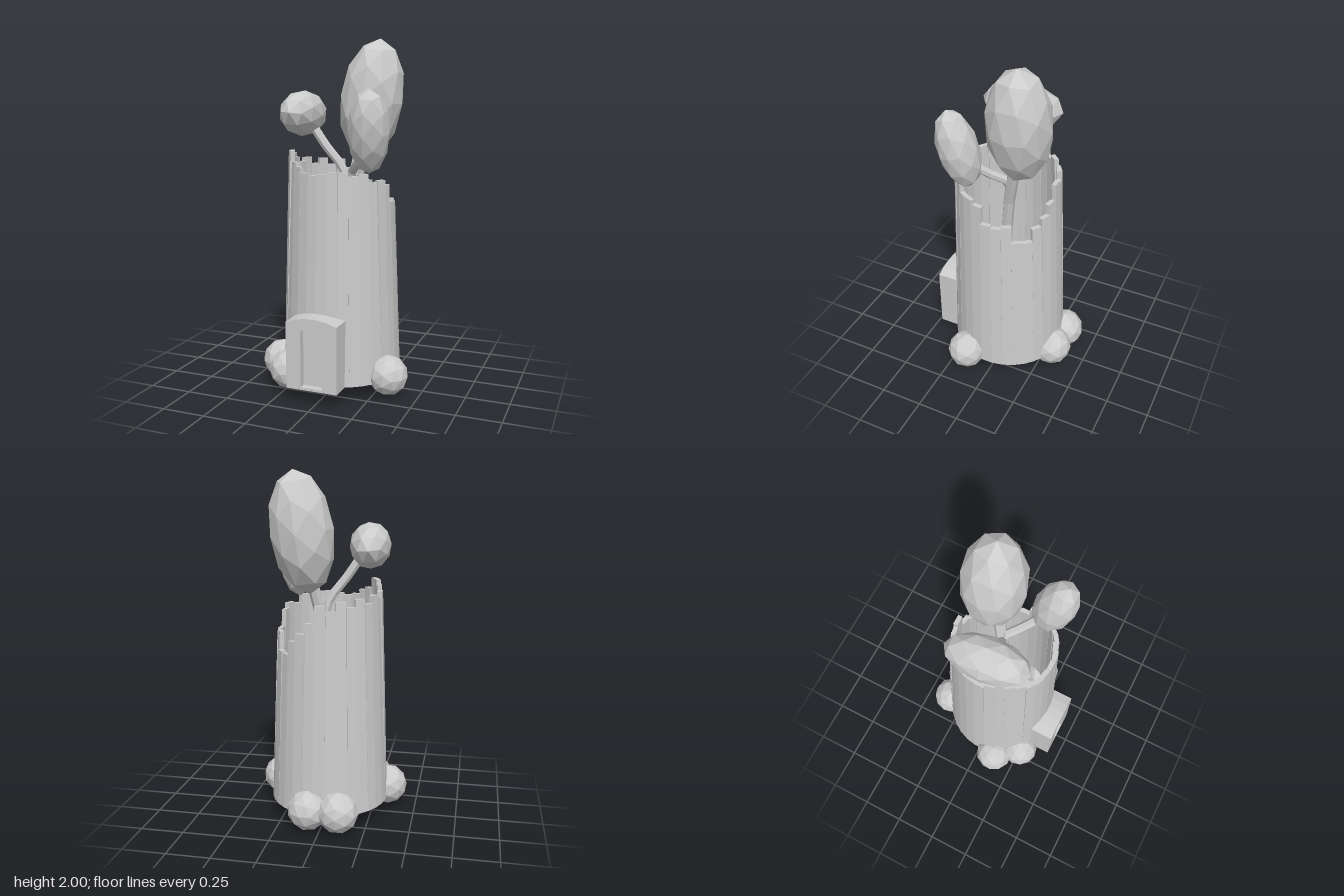
import * as THREE from 'three';
import { mergeGeometries } from 'three/addons/utils/BufferGeometryUtils.js';

const material = new THREE.MeshStandardMaterial({ color: 0xcccccc, flatShading: true });
const BASE = 0.09;

function add(parent, name, geometry) {
  const mesh = new THREE.Mesh(geometry, material);
  mesh.name = name;
  parent.add(mesh);
  return mesh;
}

// Broken rim height of each wall plank, going round from the front towards +x
const RIM = [
  1.27, 1.28, 1.28, 1.26, 1.27, 1.22, 1.23, 1.20, 1.10, 1.09, 1.10, 1.00, 0.99, 1.07, 1.12, 1.18,
  1.28, 1.25, 1.30, 1.27, 1.31, 1.28, 1.32, 1.30, 1.33, 1.36, 1.38, 1.38, 1.32, 1.30, 1.27, 1.26,
];

// One plank: a box bent onto the tapering tower wall
function plank(height, index) {
  const geometry = new THREE.BoxGeometry(1, 1, 1, 1, 4, 1);
  const p = geometry.attributes.position;
  const step = (Math.PI * 2) / RIM.length;
  const wobble = 0.005 * Math.sin(index * 2.4);
  for (let i = 0; i < p.count; i++) {
    const y = BASE + (p.getY(i) + 0.5) * (height - BASE);
    const t = (y - BASE) / 1.2;
    const angle = (index + p.getX(i) * 1.03) * step;
    const radius = 0.343 - 0.046 * t + wobble * t + (p.getZ(i) - 0.5) * 0.026;
    p.setXYZ(i, 0.004 + radius * Math.sin(angle), y, 0.004 + 0.012 * t + radius * Math.cos(angle));
  }
  return geometry;
}

// Faceted ellipsoid whose long axis follows a direction
function blob(parent, name, [x, y, z], [rx, ry, rz], axis) {
  const mesh = add(parent, name, new THREE.IcosahedronGeometry(1, 1));
  mesh.scale.set(rx, ry, rz);
  mesh.position.set(x, y, z);
  if (axis) {
    mesh.quaternion.setFromUnitVectors(new THREE.Vector3(0, 1, 0), new THREE.Vector3(...axis).normalize());
  }
  return mesh;
}

function branch(parent, name, points, radius) {
  const curve = new THREE.CatmullRomCurve3(points.map((q) => new THREE.Vector3(...q)));
  add(parent, name, new THREE.TubeGeometry(curve, 8, radius, 7));
}

export function createModel() {
  const model = new THREE.Group();
  model.name = 'ruinedTower';

  // Tower wall and floor
  const tower = new THREE.Group();
  tower.name = 'tower';
  add(tower, 'towerWall', mergeGeometries(RIM.map(plank)));
  const floor = add(tower, 'towerFloor', new THREE.CylinderGeometry(0.335, 0.335, 0.02, 32));
  floor.position.set(0.004, BASE + 0.011, 0.004);
  model.add(tower);

  // Doorway: arched block with a recessed door
  const doorway = new THREE.Group();
  doorway.name = 'doorway';
  const frame = new THREE.Shape();
  frame.moveTo(-0.15, 0);
  frame.lineTo(0.15, 0);
  frame.lineTo(0.15, 0.38);
  frame.quadraticCurveTo(0, 0.44, -0.15, 0.38);
  frame.closePath();
  const opening = new THREE.Path();
  opening.moveTo(-0.063, 0.015);
  opening.lineTo(-0.063, 0.34);
  opening.quadraticCurveTo(0, 0.357, 0.063, 0.34);
  opening.lineTo(0.063, 0.015);
  opening.closePath();
  frame.holes.push(opening);
  add(doorway, 'doorFrame', new THREE.ExtrudeGeometry(frame, { depth: 0.135, bevelEnabled: false, curveSegments: 5 }));
  const door = add(doorway, 'door', new THREE.BoxGeometry(0.14, 0.36, 0.08));
  door.position.set(0, 0.185, 0.055);
  doorway.position.set(-0.01, BASE, 0.3);
  model.add(doorway);

  // Tree growing inside the tower
  const tree = new THREE.Group();
  tree.name = 'tree';
  branch(tree, 'trunk', [[-0.07, 0.1, 0.08], [-0.02, 0.6, 0.05], [0.03, 1.09, 0], [0.07, 1.27, -0.04], [0.1, 1.42, -0.07]], 0.034);
  branch(tree, 'leftBranch', [[0.03, 1.12, -0.01], [0.06, 1.25, 0], [0.11, 1.3, 0.06], [0.2, 1.4, 0.16]], 0.026);
  branch(tree, 'rightBranch', [[0.04, 1.15, -0.01], [0.0, 1.28, 0], [-0.09, 1.4, 0.02], [-0.19, 1.55, 0.03]], 0.026);
  blob(tree, 'tallCrown', [0.14, 1.66, -0.112], [0.182, 0.343, 0.182], [0.14, 1, -0.02]);
  blob(tree, 'leftCrown', [0.232, 1.495, 0.2], [0.115, 0.235, 0.115], [0.08, 1, 0.24]);
  blob(tree, 'rightCrown', [-0.222, 1.582, 0.035], [0.118, 0.238, 0.13], [0.08, 0.05, 1]);
  model.add(tree);

  // Bushes round the base
  const bushes = new THREE.Group();
  bushes.name = 'bushes';
  [
    [-0.105, 0.12, -0.325, 0.118],
    [0.07, 0.118, -0.313, 0.118],
    [0.335, 0.13, 0.145, 0.115],
    [-0.33, 0.128, 0.117, 0.118],
    [-0.225, 0.13, 0.255, 0.115],
  ].forEach(([x, y, z, r], i) => {
    blob(bushes, 'bush', [x, y, z], [r, r, r]).rotation.y = i * 1.3;
  });
  model.add(bushes);

  return model;
}
